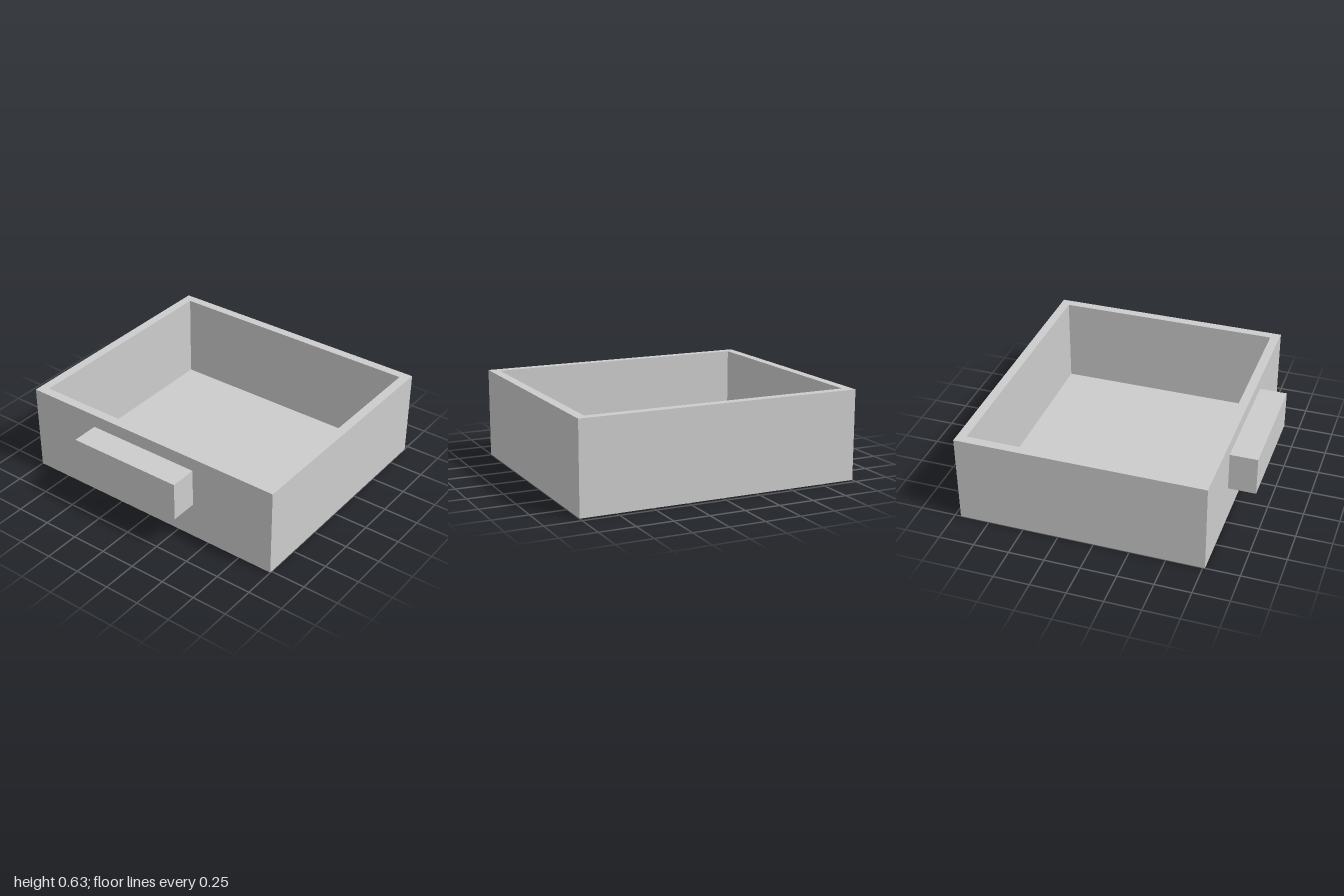
import * as THREE from 'three';

const WIDTH = 2, HEIGHT = 0.63, WALL = 0.065, FLOOR = 0.004;
const BACK = -0.957, FRONT = 0.765, HANDLE_FRONT = 0.957;

// Box given by its lower and upper corners
function block(name, min, max, material) {
  const size = max.map((v, i) => v - min[i]);
  const mesh = new THREE.Mesh(new THREE.BoxGeometry(...size), material);
  mesh.position.set(...min.map((v, i) => v + size[i] / 2));
  mesh.name = name;
  return mesh;
}

// Rectangle outline, inset from the tray's footprint
function footprint(Type, inset) {
  const x = WIDTH / 2 - inset, z0 = BACK + inset, z1 = FRONT - inset;
  return new Type([[-x, -z1], [x, -z1], [x, -z0], [-x, -z0]].map(([a, b]) => new THREE.Vector2(a, b)));
}

export function createModel() {
  const group = new THREE.Group();
  group.name = 'drawer';
  const grey = new THREE.MeshStandardMaterial({ color: 0xcccccc });
  grey.name = 'light grey';

  // Four walls as one frame with an open middle
  const frame = footprint(THREE.Shape, 0);
  frame.holes.push(footprint(THREE.Path, WALL));
  const wallGeometry = new THREE.ExtrudeGeometry(frame, { depth: HEIGHT - FLOOR, bevelEnabled: false });
  wallGeometry.rotateX(-Math.PI / 2);
  const walls = new THREE.Mesh(wallGeometry, grey);
  walls.position.y = FLOOR;
  walls.name = 'walls';

  // Thin floor panel and the block handle, set off centre on the front
  group.add(
    walls,
    block('floor', [-WIDTH / 2, 0, BACK], [WIDTH / 2, FLOOR, FRONT], grey),
    block('handle', [-0.465, 0.26, FRONT], [0.375, 0.535, HANDLE_FRONT], grey),
  );
  return group;
}
